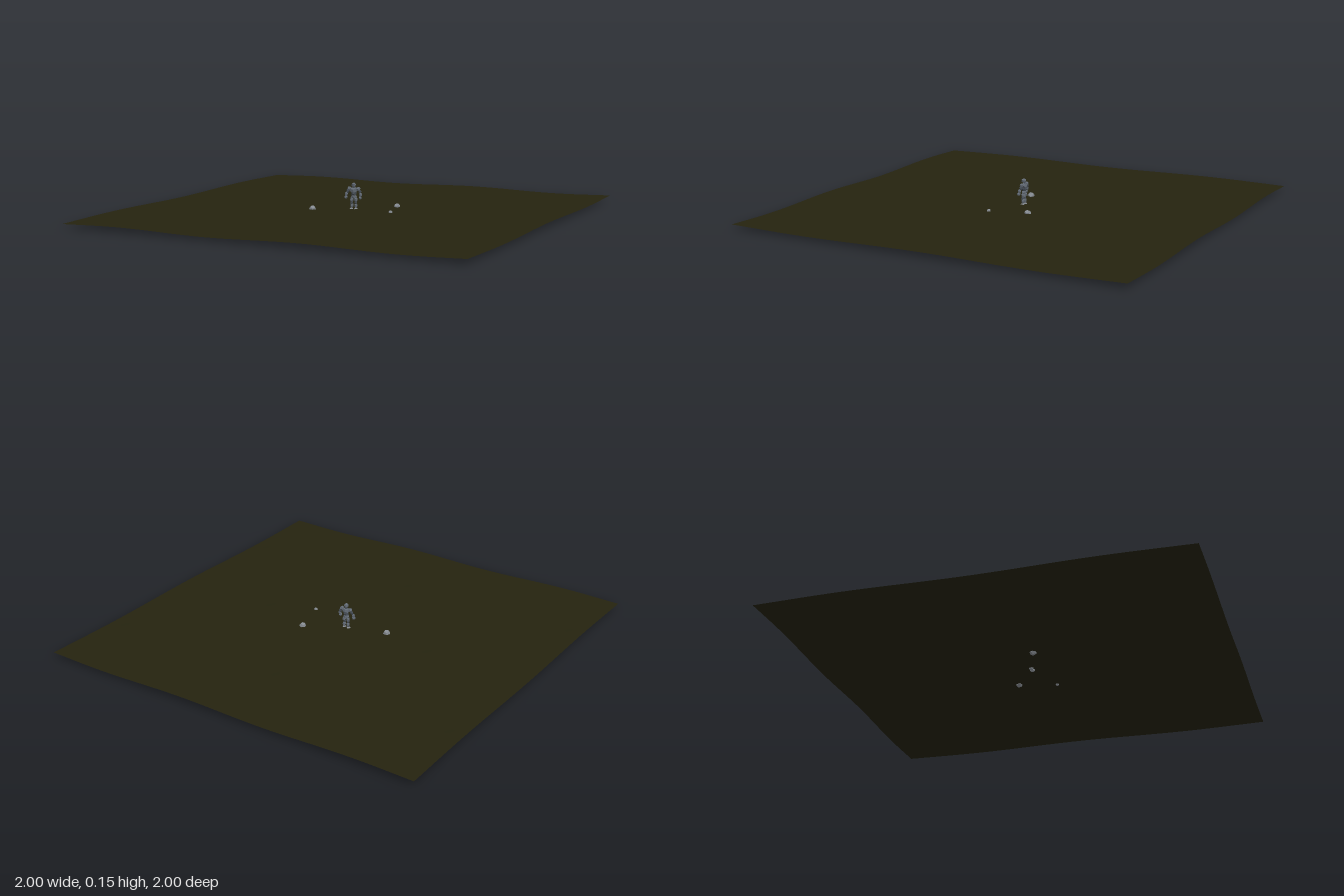
import * as THREE from 'three';

const mat = (name, color, extra = {}) => {
  const m = new THREE.MeshStandardMaterial({ color, ...extra });
  m.name = name;
  return m;
};

// Gentle rolling height of the ground
const groundHeight = (x, z) => 0.0125 + 0.0075 * Math.sin(6.8 * x) * Math.cos(5.4 * z);

export function createModel() {
  const model = new THREE.Group();
  const soil = mat('dark soil', 0x25230f, { side: THREE.DoubleSide });
  const stone = mat('blue grey stone', 0x626a74, { flatShading: true });
  const darkStone = mat('dark stone', 0x434a52, { flatShading: true });
  const paleStone = mat('pale stone', 0x858a90, { flatShading: true });

  // Ground sheet
  const sheet = new THREE.PlaneGeometry(2, 2, 80, 80).rotateX(-Math.PI / 2);
  const p = sheet.attributes.position;
  for (let i = 0; i < p.count; i++) p.setY(i, groundHeight(p.getX(i), p.getZ(i)));
  sheet.computeVertexNormals();
  const ground = new THREE.Mesh(sheet, soil);
  ground.name = 'ground';
  model.add(ground);

  // One faceted boulder, stretched to the given half sizes
  const boulder = (parent, name, material, [x, y, z], [rx, ry, rz], turn = 0) => {
    const mesh = new THREE.Mesh(new THREE.DodecahedronGeometry(1, 0), material);
    mesh.name = name;
    mesh.position.set(x, y, z);
    mesh.scale.set(rx, ry, rz);
    mesh.rotation.set(turn * 0.7, turn, turn * 0.4);
    parent.add(mesh);
  };

  // Stone figure: head and trunk
  const figure = new THREE.Group();
  figure.name = 'stoneFigure';
  model.add(figure);
  boulder(figure, 'head', stone, [0, 0.131, 0.002], [0.012, 0.012, 0.012], 0.3);
  boulder(figure, 'brow', darkStone, [0, 0.134, 0.009], [0.009, 0.003, 0.005]);
  boulder(figure, 'neck', darkStone, [0, 0.119, 0], [0.008, 0.006, 0.008]);
  boulder(figure, 'chest', stone, [0, 0.106, 0], [0.022, 0.015, 0.015], 0.2);
  boulder(figure, 'belly', darkStone, [0, 0.088, 0], [0.015, 0.012, 0.012], 0.5);
  boulder(figure, 'hips', stone, [0, 0.073, 0], [0.016, 0.009, 0.012]);

  // Bowed arms and short legs on both sides
  for (const s of [-1, 1]) {
    boulder(figure, 'shoulder', stone, [s * 0.024, 0.112, 0], [0.011, 0.011, 0.011], s * 0.4);
    boulder(figure, 'upperArm', darkStone, [s * 0.033, 0.099, 0.001], [0.008, 0.011, 0.008], s * 0.3);
    boulder(figure, 'forearm', stone, [s * 0.039, 0.085, 0.005], [0.008, 0.011, 0.008], s * 0.2);
    boulder(figure, 'fist', stone, [s * 0.039, 0.070, 0.009], [0.008, 0.009, 0.009], s * 0.5);
    boulder(figure, 'thigh', stone, [s * 0.011, 0.059, 0], [0.009, 0.013, 0.010], s * 0.2);
    boulder(figure, 'knee', darkStone, [s * 0.011, 0.044, 0.003], [0.007, 0.007, 0.008], s * 0.3);
    boulder(figure, 'shin', stone, [s * 0.011, 0.030, 0], [0.008, 0.013, 0.009], s * 0.1);
    boulder(figure, 'foot', paleStone, [s * 0.012, 0.010, 0.003], [0.009, 0.010, 0.013]);
  }

  // Loose rocks resting in the soil: x, z, radius
  [[0.18, -0.115, 0.017], [0.23, 0.07, 0.010], [-0.195, 0.065, 0.018]].forEach(([x, z, r], i) =>
    boulder(model, 'rock', paleStone, [x, groundHeight(x, z) + r * 0.1, z], [r, r, r], 0.4 + i));

  return model;
}
